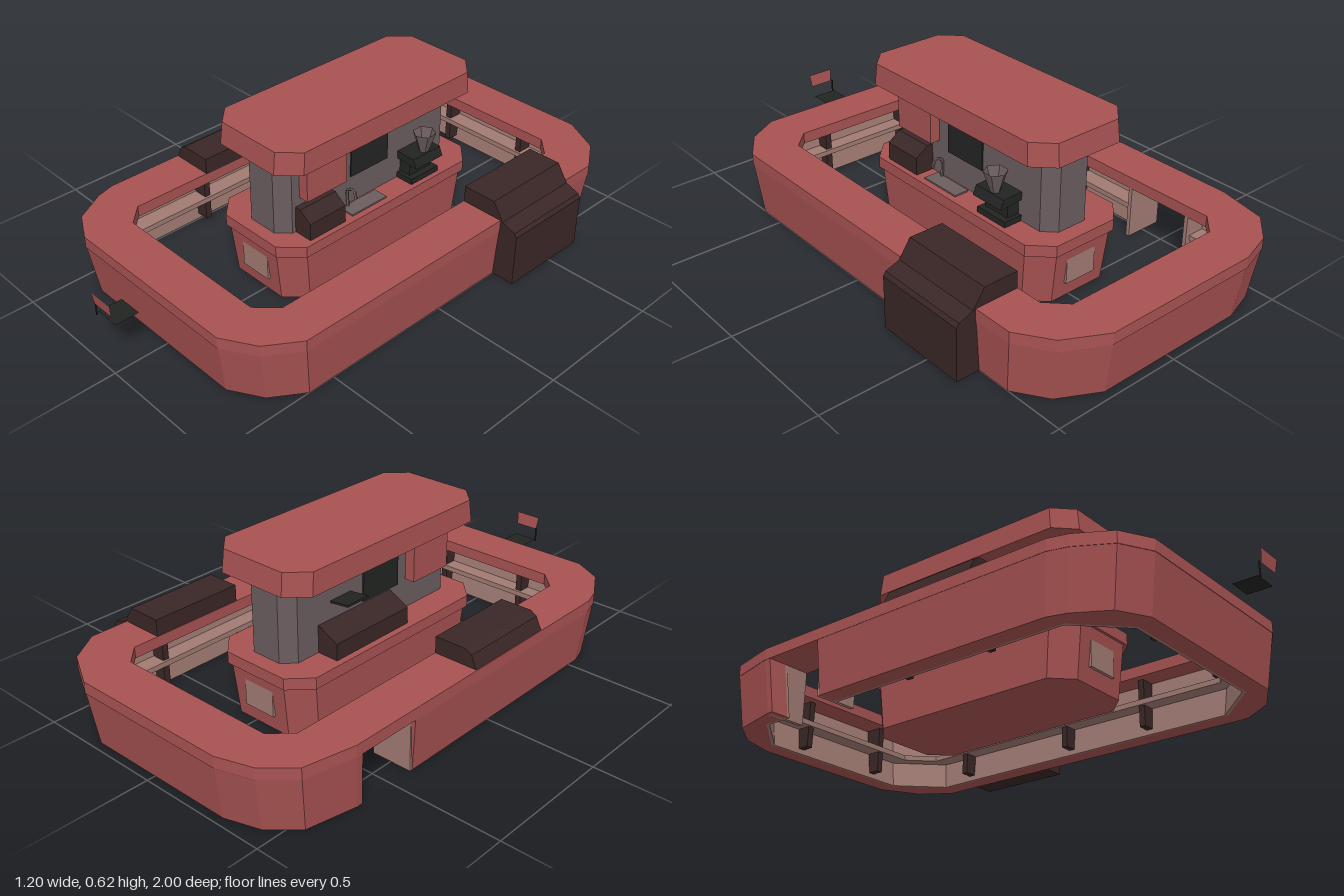
import * as THREE from 'three';

const RED = 0xa85252, DARK = 0x3a2626, TAN = 0xa07a72, GREY = 0x6b5d5f, BLACK = 0x222422;
const mats = {};
const mat = (c) => (mats[c] ??= new THREE.MeshStandardMaterial({
  color: c, flatShading: true, side: THREE.DoubleSide }));

function add(parent, name, geo, color) {
  const m = new THREE.Mesh(geo, mat(color));
  m.name = name;
  parent.add(m);
  return m;
}

// box given by its limits on each axis
function box(parent, name, [x0, x1], [y0, y1], [z0, z1], color) {
  const g = new THREE.BoxGeometry(x1 - x0, y1 - y0, z1 - z0);
  g.translate((x0 + x1) / 2, (y0 + y1) / 2, (z0 + z1) / 2);
  return add(parent, name, g, color);
}

// rectangle with cut corners as [x, z] points; starts on the -x side near +z, ends near -z
const outline = (x0, x1, z0, z1, c) => [
  [x0, z1 - c], [x0 + c, z1], [x1 - c, z1], [x1, z1 - c],
  [x1, z0 + c], [x1 - c, z0], [x0 + c, z0], [x0, z0 + c],
];
const v2 = (pts) => pts.map(([x, z]) => new THREE.Vector2(x, -z));

// flat layer between two heights, with an optional hole
function layer(pts, y0, y1, hole) {
  const s = new THREE.Shape(v2(pts));
  if (hole) s.holes.push(new THREE.Path(v2(hole)));
  const g = new THREE.ExtrudeGeometry(s, { depth: y1 - y0, bevelEnabled: false });
  g.rotateX(-Math.PI / 2);
  g.translate(0, y0, 0);
  return g;
}

// scale a geometry linearly with height about the plan centre
const CX = -0.035, CZ = -0.09;
function taper(g, y0, y1, s0, s1) {
  const p = g.attributes.position;
  for (let i = 0; i < p.count; i++) {
    const s = THREE.MathUtils.lerp(s0, s1, (p.getY(i) - y0) / (y1 - y0));
    p.setX(i, CX + (p.getX(i) - CX) * s);
    p.setZ(i, CZ + (p.getZ(i) - CZ) * s);
  }
  g.computeVertexNormals();
  return g;
}

// side profile [x, y] swept along z
function sweep(parent, name, profile, z0, z1, color) {
  const s = new THREE.Shape(profile.map(([x, y]) => new THREE.Vector2(x, y)));
  const g = new THREE.ExtrudeGeometry(s, { depth: z1 - z0, bevelEnabled: false });
  g.translate(0, 0, z0);
  return add(parent, name, g, color);
}

function buildCounter() {
  const g = new THREE.Group();
  g.name = 'ringCounter';
  const gap = [-0.655, -0.41];
  const outer = [
    [-0.6, 0.57], [-0.58, 0.64], [-0.51, 0.76], [-0.4, 0.82],
    [0.32, 0.82], [0.44, 0.75], [0.52, 0.63],
    [0.52, -0.8], [0.44, -0.92], [0.29, -1],
    [-0.33, -1], [-0.46, -0.96], [-0.56, -0.87], [-0.6, -0.68],
  ];
  const inner = outline(-0.425, 0.35, -0.82, 0.65, 0.07);
  const recess = outline(-0.53, 0.45, -0.93, 0.75, 0.16);
  const lining = outline(-0.52, 0.44, -0.92, 0.74, 0.157);
  const shelfEdge = outline(-0.445, 0.37, -0.84, 0.67, 0.09);
  // ring left open at the walkway on the -x side
  const open = (pts) => [[pts[0][0], gap[1]], ...pts, [pts[0][0], gap[0]]];
  const band = (a, b) => [...open(a), ...open(b).reverse()];

  add(g, 'counterTop', layer(outer, 0.2, 0.243, inner), RED);
  add(g, 'outerWall', taper(layer(band(outer, recess), 0, 0.2), 0, 0.2, 0.966, 0.998), RED);
  add(g, 'wallLining', taper(layer(band(recess, lining), 0, 0.2), 0, 0.2, 0.966, 0.998), TAN);
  add(g, 'middleShelf', layer(band(lining, shelfEdge), 0.1, 0.12), TAN);

  // shelf dividers and walkway end panels
  for (const z of [-0.6, -0.1, 0.25]) {
    box(g, 'divider', [0.38, 0.45], [0.02, 0.2], [z - 0.012, z + 0.012], DARK);
    if (z > gap[1]) box(g, 'divider', [-0.53, -0.455], [0.02, 0.2], [z - 0.012, z + 0.012], DARK);
  }
  for (const x of [-0.22, 0.15]) {
    box(g, 'divider', [x - 0.012, x + 0.012], [0.02, 0.2], [0.68, 0.75], DARK);
    box(g, 'divider', [x - 0.012, x + 0.012], [0.02, 0.2], [-0.93, -0.85], DARK);
  }
  box(g, 'walkwayPanel', [-0.58, -0.427], [0, 0.2], [gap[1], gap[1] + 0.015], TAN);
  box(g, 'walkwayPanel', [-0.57, -0.427], [0, 0.2], [gap[0] - 0.015, gap[0]], TAN);

  // dark cabinets on and beside the counter
  sweep(g, 'leftTopCabinet',
    [[0.352, 0.24], [0.53, 0.24], [0.485, 0.306], [0.352, 0.306]], -0.65, -0.285, DARK);
  sweep(g, 'leftSideCabinet',
    [[0.505, 0.005], [0.595, 0.005], [0.595, 0.205], [0.585, 0.22], [0.52, 0.243]], -0.65, -0.285, DARK);
  sweep(g, 'rightTopCabinet',
    [[-0.598, 0.24], [-0.425, 0.24], [-0.425, 0.305], [-0.55, 0.305], [-0.575, 0.29]], -0.1, 0.27, DARK);
  return g;
}

function buildIsland() {
  const g = new THREE.Group();
  g.name = 'island';
  const rim = outline(-0.245, 0.17, -0.56, 0.385, 0.075);
  const body = outline(-0.235, 0.16, -0.55, 0.375, 0.075);
  add(g, 'islandBase', taper(layer(body, 0, 0.2), 0, 0.2, 0.95, 1), RED);
  add(g, 'islandTop', layer(rim, 0.2, 0.243), RED);
  box(g, 'endPanel', [-0.1, 0.03], [0.06, 0.16], [-0.545, 0.37], TAN);
  add(g, 'core', layer(outline(-0.135, 0.075, -0.5, 0.335, 0.045), 0.243, 0.54), GREY);
  add(g, 'roof', taper(layer(outline(-0.243, 0.17, -0.56, 0.387, 0.07),
    0.535, 0.618), 0.535, 0.618, 1, 0.98), RED);

  // wall panels and screens on both long sides
  box(g, 'leftWallPanel', [0.075, 0.115], [0.375, 0.535], [0.07, 0.255], RED);
  box(g, 'rightWallPanel', [-0.187, -0.148], [0.365, 0.525], [0.07, 0.255], RED);
  box(g, 'leftScreen', [0.07, 0.08], [0.352, 0.487], [-0.168, 0.015], BLACK);
  box(g, 'rightScreen', [-0.14, -0.13], [0.352, 0.487], [-0.14, 0.04], BLACK);

  // equipment on the island top
  sweep(g, 'leftCase', [[0.075, 0.243], [0.15, 0.243], [0.15, 0.31], [0.1, 0.345], [0.075, 0.345]],
    0.11, 0.275, DARK);
  sweep(g, 'rightCase', [[-0.22, 0.243], [-0.135, 0.243], [-0.135, 0.345], [-0.15, 0.34], [-0.22, 0.305]],
    -0.36, 0, DARK);
  box(g, 'sink', [0.085, 0.145], [0.243, 0.249], [-0.1, 0.07], GREY);
  const tap = new THREE.CatmullRomCurve3([[0.09, 0.245], [0.09, 0.315], [0.12, 0.325], [0.13, 0.295]]
    .map(([x, y]) => new THREE.Vector3(x, y, 0.04)));
  add(g, 'tap', new THREE.TubeGeometry(tap, 10, 0.006, 5), GREY);

  // grinder: stand, sloping head and hopper
  box(g, 'grinderBase', [0.075, 0.15], [0.243, 0.265], [-0.365, -0.225], BLACK);
  box(g, 'grinderBody', [0.075, 0.125], [0.265, 0.33], [-0.35, -0.24], BLACK);
  sweep(g, 'grinderHead', [[0.075, 0.325], [0.17, 0.318], [0.155, 0.352], [0.075, 0.355]],
    -0.365, -0.225, BLACK);
  const hopper = new THREE.CylinderGeometry(0.043, 0.017, 0.08, 6, 1, true);
  hopper.translate(0.135, 0.39, -0.3);
  add(g, 'hopper', hopper, GREY);

  const shelf = box(g, 'wallShelf', [-0.04, 0.04], [-0.004, 0.004], [-0.05, 0.05], BLACK);
  shelf.position.set(-0.175, 0.415, -0.25);
  shelf.rotation.z = -0.12;
  return g;
}

function buildSeat() {
  const g = new THREE.Group();
  g.name = 'seat';
  const pad = new THREE.PlaneGeometry(0.095, 0.09);
  pad.rotateX(-Math.PI / 2);
  pad.translate(-0.037, 0.198, 0.937);
  add(g, 'seatPad', pad, BLACK);
  box(g, 'seatPost', [-0.085, -0.08], [0.19, 0.245], [0.987, 0.991], BLACK);
  const back = new THREE.PlaneGeometry(0.105, 0.05);
  const p = back.attributes.position;
  for (let i = 0; i < p.count; i++) if (p.getY(i) < 0) p.setX(i, p.getX(i) * 0.88);
  back.rotateX(0.12);
  back.translate(-0.033, 0.264, 0.997);
  add(g, 'seatBack', back, RED);
  return g;
}

export function createModel() {
  const model = new THREE.Group();
  model.name = 'barKiosk';
  model.add(buildCounter(), buildIsland(), buildSeat());
  return model;
}
